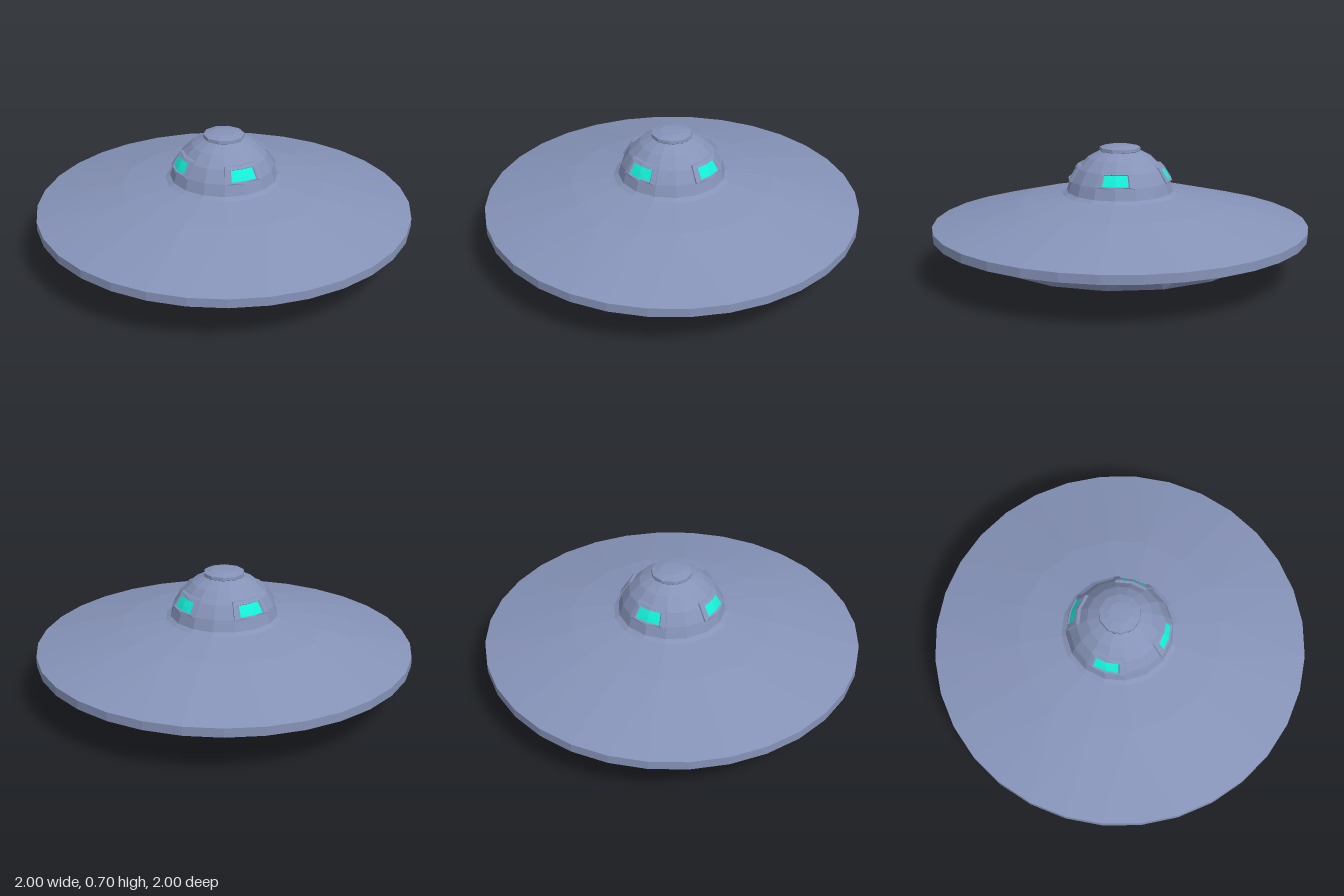
import * as THREE from 'three';

const HULL = 0x8693b8, VIOLET = 0xcc78dd, YELLOW = 0xffe800, GLASS = 0x14f0d8;

// Horizontal ring of n points; n = 1 gives a centre point.
function ring(n, r, y) {
  return Array.from({ length: n }, (_, i) => {
    const a = (i / n) * Math.PI * 2;
    return n === 1 ? [0, y, 0] : [r * Math.sin(a), y, r * Math.cos(a)];
  });
}

// Skin a series of closed loops; neighbouring loops may differ in point count.
function loft(name, color, loops) {
  const pos = [];
  for (let k = 0; k + 1 < loops.length; k++) {
    const A = loops[k], B = loops[k + 1], n = A.length, m = B.length;
    let i = 0, j = 0;
    while (i < n || j < m) {
      if (j >= m || (i < n && (i + 0.5) / n <= (j + 0.5) / m)) {
        if (n > 1) pos.push(...A[i % n], ...A[(i + 1) % n], ...B[j % m]);
        i++;
      } else {
        if (m > 1) pos.push(...A[i % n], ...B[(j + 1) % m], ...B[j % m]);
        j++;
      }
    }
  }
  const geo = new THREE.BufferGeometry();
  geo.setAttribute('position', new THREE.Float32BufferAttribute(pos, 3));
  geo.computeVertexNormals();
  const mesh = new THREE.Mesh(geo, new THREE.MeshStandardMaterial({ color, flatShading: true }));
  mesh.name = name;
  return mesh;
}

const rings = (rows) => rows.map(([n, r, y]) => ring(n, r, y));

// Dome is part of a sphere centred at y = 0.40
const domeRadius = (y) => Math.sqrt(0.29 ** 2 - (y - 0.4) ** 2);

// Six-point window outline wrapped on the dome, raised by d
function outline(half, y0, y1, d) {
  const at = (a, y) => {
    const r = domeRadius(y) + d;
    return [r * Math.sin(a), y, r * Math.cos(a)];
  };
  return [at(-half, y0), at(0, y0), at(half, y0), at(half, y1), at(0, y1), at(-half, y1)];
}

function createWindow() {
  const g = new THREE.Group();
  g.name = 'window';
  const inner = outline(0.26, 0.525, 0.578, 0.003);
  g.add(loft('windowFrame', HULL, [
    outline(0.4, 0.513, 0.597, -0.012),
    outline(0.39, 0.515, 0.595, 0.012),
    outline(0.28, 0.523, 0.582, 0.012),
    inner,
  ]));
  const r = domeRadius(0.5515) + 0.003;
  g.add(loft('windowPane', GLASS, [inner, [[0, 0.5515, r]]]));
  return g;
}

export function createModel() {
  const model = new THREE.Group();
  model.name = 'flyingSaucer';

  // Underside
  model.add(loft('bottomLight', YELLOW, rings([[1, 0, 0], [10, 0.2, 0]])));
  model.add(loft('lowerCone', HULL, rings([[10, 0.2, 0], [12, 0.46, 0.145]])));
  model.add(loft('engineRing', VIOLET, rings([[12, 0.46, 0.145], [16, 0.71, 0.11]])));
  model.add(loft('lowerSkirt', HULL, rings([[16, 0.71, 0.11], [20, 0.79, 0.23]])));

  // Main disc with sloped upper deck
  model.add(loft('disc', HULL, rings([
    [20, 0.79, 0.23], [32, 1, 0.23], [32, 1, 0.277], [16, 0.54, 0.4], [16, 0.31, 0.44],
  ])));

  // Dome with its flared foot
  const domeRows = [[16, 0.31, 0.44], [16, 0.285, 0.455]];
  for (const y of [0.515, 0.58, 0.635, 0.67]) domeRows.push([16, domeRadius(y), y]);
  model.add(loft('dome', HULL, rings(domeRows)));

  // Cap on the dome
  model.add(loft('domeCap', HULL, rings([
    [10, 0.1, 0.66], [10, 0.11, 0.672], [10, 0.108, 0.688], [10, 0.06, 0.699], [1, 0, 0.701],
  ])));

  // Four windows around the dome
  for (let k = 0; k < 4; k++) {
    const w = createWindow();
    w.rotation.y = (k * Math.PI) / 2;
    model.add(w);
  }
  return model;
}
